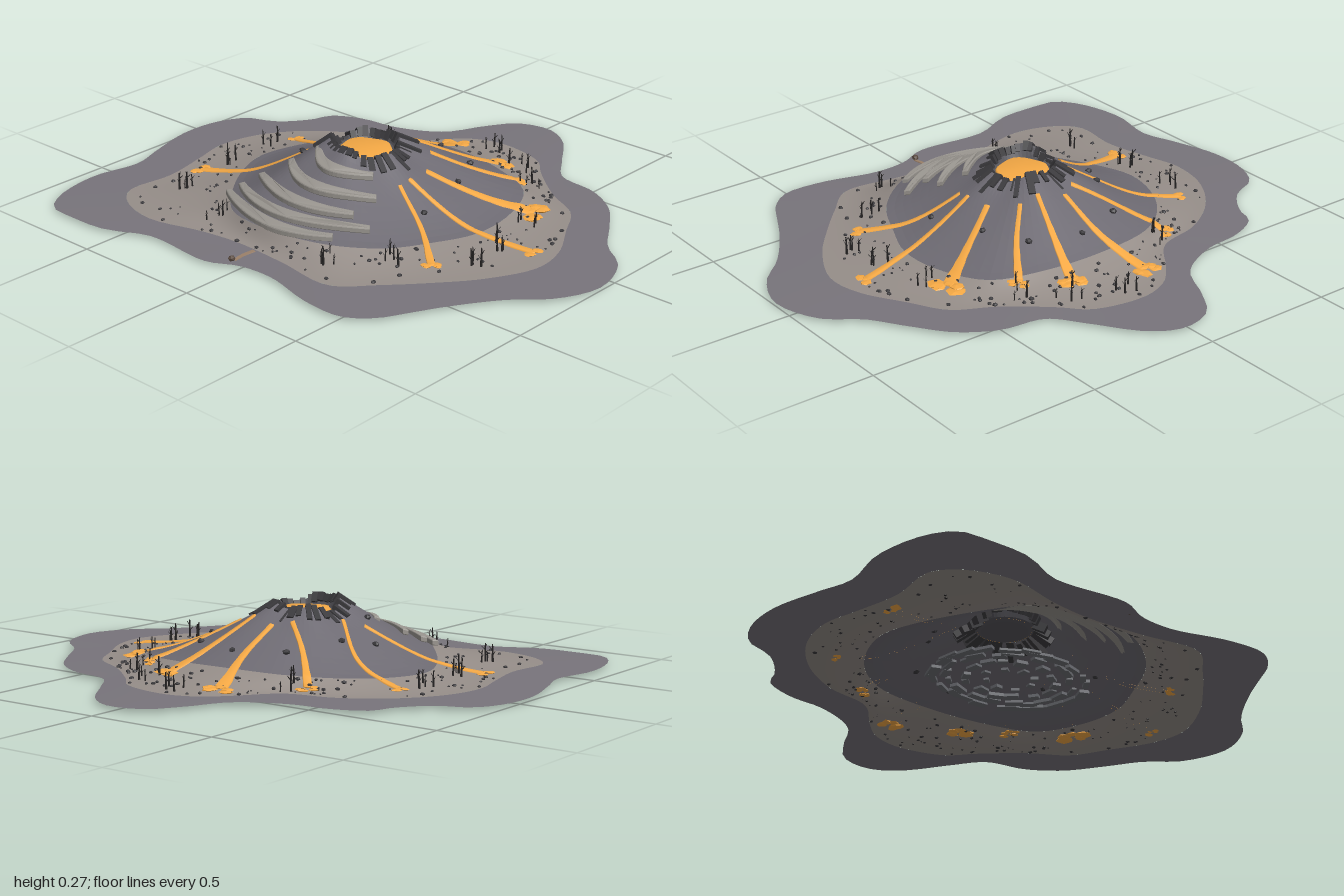
import * as THREE from 'three';
import { mergeGeometries } from 'three/addons/utils/BufferGeometryUtils.js';

const CX = -0.05, CZ = 0.08, RIM = 0.125, TAU = Math.PI * 2;
let seed = 7;
const rand = (a = 0, b = 1) => {
  seed = (seed * 16807) % 2147483647;
  return a + (b - a) * (seed / 2147483647);
};
const mat = (color, flatShading = true) =>
  new THREE.MeshStandardMaterial({ color, flatShading, side: THREE.DoubleSide });

// Closed outline (x, z pairs) turned into a radius by angle about the crater
function outline(pts) {
  const v = [];
  for (let i = 0; i < pts.length; i += 2) v.push(new THREE.Vector3(pts[i], 0, pts[i + 1]));
  const polar = new THREE.CatmullRomCurve3(v, true).getPoints(400)
    .map(p => [(Math.atan2(p.z - CZ, p.x - CX) + TAU) % TAU, Math.hypot(p.x - CX, p.z - CZ)])
    .sort((a, b) => a[0] - b[0]);
  const last = polar[polar.length - 1], first = polar[0];
  polar.unshift([last[0] - TAU, last[1]]);
  polar.push([first[0] + TAU, first[1]]);
  return angle => {
    const t = ((angle % TAU) + TAU) % TAU;
    let i = 1;
    while (i < polar.length - 1 && polar[i][0] < t) i++;
    const [a, b] = [polar[i - 1], polar[i]];
    return a[1] + (b[1] - a[1]) * (t - a[0]) / Math.max(1e-6, b[0] - a[0]);
  };
}
const skirtR = outline([.03, -.89, .14, -.83, .26, -.67, .35, -.56, .51, -.53, .64, -.45, .74, -.32, .83, -.19,
  .94, -.1, 1, .08, .94, .24, .83, .35, .72, .51, .65, .64, .6, .73, .51, .8, .35, .8, .14, .75, 0, .76,
  -.11, .81, -.4, .8, -.56, .87, -.72, .88, -.83, .87, -.9, .78, -.94, .59, -.91, .4, -.95, .27, -1, .08,
  -.99, -.08, -.93, -.19, -.82, -.24, -.73, -.35, -.7, -.43, -.58, -.49, -.43, -.51, -.26, -.6, -.18, -.75, -.1, -.86]);
const ashR = outline([-.01, -.65, .19, -.61, .27, -.53, .43, -.4, .57, -.32, .65, -.19, .74, -.03, .76, .11,
  .68, .29, .57, .43, .45, .56, .33, .67, .09, .65, -.13, .64, -.29, .66, -.5, .71, -.66, .67, -.74, .59,
  -.73, .4, -.77, .21, -.8, .08, -.77, -.08, -.66, -.24, -.5, -.35, -.32, -.4, -.21, -.53, -.13, -.61]);
const coneR = outline([0, -.39, .22, -.36, .38, -.29, .46, -.11, .47, .08, .41, .24, .33, .4, .17, .53, -.05, .58,
  -.24, .55, -.4, .4, -.53, .21, -.57, .08, -.53, -.08, -.42, -.24, -.26, -.35]);

// Ground height at polar position (r, t)
const rimY = t => 0.232 + 0.032 * Math.exp(-(((t - 2.2) / 0.45) ** 2)) + 0.01 * Math.sin(5 * t + 1) - 0.01 * Math.cos(2 * t);
function height(r, angle) {
  const t = ((angle % TAU) + TAU) % TAU, s2 = Math.sin(t) ** 2;
  const R1 = coneR(t), R2 = ashR(t), foot = 0.042 + 0.03 * s2;
  if (r <= R1) {
    const u = Math.max(0, (r - RIM) / (R1 - RIM));
    // shallow slide scar on the front flank
    const scar = 0.012 * Math.exp(-(((t - Math.PI / 2) / 0.5) ** 4)) * Math.sin(Math.PI * u);
    return foot + (rimY(t) - foot) * (1 - u) ** (1.35 - 0.3 * s2) - scar;
  }
  if (r <= R2) return 0.016 + (foot - 0.016) * (1 - (r - R1) / (R2 - R1)) ** 2;
  return 0.016 - 0.004 * Math.min(1, (r - R2) / (skirtR(t) - R2));
}
const groundY = (x, z) => height(Math.hypot(x - CX, z - CZ), Math.atan2(z - CZ, x - CX));

function surface(pos, idx) {
  const g = new THREE.BufferGeometry();
  g.setAttribute('position', new THREE.Float32BufferAttribute(pos, 3));
  g.setIndex(idx);
  g.computeVertexNormals();
  return g;
}
// Polar sheet: each ring gives [radius, y] by angle
function sheet(rings, n) {
  const pos = [], idx = [];
  rings.forEach(ring => {
    for (let j = 0; j < n; j++) {
      const t = j / n * TAU, [r, y] = ring(t);
      pos.push(CX + r * Math.cos(t), y, CZ + r * Math.sin(t));
    }
  });
  for (let i = 0; i < rings.length - 1; i++) for (let j = 0; j < n; j++) {
    const a = i * n + j, c = i * n + (j + 1) % n;
    idx.push(a, c, a + n, c, c + n, a + n);
  }
  return surface(pos, idx);
}
const band = (inner, outer, k) => Array.from({ length: k + 1 }, (_, i) => t => {
  const r = inner(t) + (outer(t) - inner(t)) * i / k;
  return [r, height(r - 1e-6, t)];
});

// Ribbon draped over the ground along x, z points, with thin sunken edges
function ribbon(pts, w0, w1, lift) {
  const curve = new THREE.CatmullRomCurve3(pts.map(([x, z]) => new THREE.Vector3(x, 0, z)));
  const pos = [], idx = [], n = 28;
  for (let i = 0; i <= n; i++) {
    const u = i / n, p = curve.getPoint(u), d = curve.getTangent(u);
    const w = (w0 + (w1 - w0) * u * u) * (1 + 0.04 * Math.sin(i * 1.1));
    for (const s of [-1, -0.85, 0.85, 1]) {
      const x = p.x - d.z * w * s, z = p.z + d.x * w * s;
      pos.push(x, groundY(x, z) + (Math.abs(s) < 1 ? lift : 0), z);
    }
    if (i < n) for (let k = 0; k < 3; k++) {
      const a = i * 4 + k;
      idx.push(a, a + 1, a + 4, a + 1, a + 5, a + 4);
    }
  }
  return surface(pos, idx);
}
// Squashed, turned rock resting at x, z
const rock = (x, y, z, s, flat = 0.8) => new THREE.IcosahedronGeometry(s, 0)
  .rotateX(rand(0, 3)).rotateZ(rand(0, 3)).scale(rand(0.8, 1.3), flat, rand(0.8, 1.3)).translate(x, y, z);

// Bare tree: trunk and slanted branches
function tree(x, z, h) {
  const parts = [new THREE.CylinderGeometry(h * 0.03, h * 0.07, h, 5).translate(0, h / 2, 0)];
  for (let i = 0; i < 4; i++) {
    const L = h * rand(0.2, 0.32);
    parts.push(new THREE.CylinderGeometry(h * 0.015, h * 0.03, L, 4).translate(0, L / 2, 0)
      .rotateZ(rand(0.4, 0.8)).rotateY(i * 1.7 + rand()).translate(0, h * (0.4 + i * 0.13), 0));
  }
  return mergeGeometries(parts).rotateZ(rand(-0.06, 0.06)).translate(x, groundY(x, z) - 0.003, z);
}

export function createModel() {
  const model = new THREE.Group();
  const add = (name, geometry, material) => {
    const mesh = new THREE.Mesh(geometry, material);
    mesh.name = name;
    model.add(mesh);
  };
  const dark = mat(0x3b3a3d), lava = mat(0xf5a945, false);

  // Ground and mountain
  add('outerGround', sheet(band(ashR, skirtR, 3), 140), mat(0x78747b, false));
  add('ashField', sheet(band(coneR, ashR, 6), 120), mat(0x968e89, false));
  add('cone', sheet(band(() => RIM, coneR, 12), 80), mat(0x6e6b73));
  add('craterBowl', sheet([() => [0, 0.2], () => [0.085, 0.203], () => [0.105, 0.212], t => [RIM, rimY(t)]], 56),
    mat(0x55545a));
  add('lavaPool', sheet([() => [0, 0.22], t => [0.088 + 0.006 * Math.sin(4 * t), 0.22],
    () => [0.098, 0.208]], 24), lava);

  // Slabs half sunk around the crater rim, shorter at the front
  const slabs = [];
  for (let i = 0; i < 30; i++) {
    const t = i / 30 * TAU + rand(-0.06, 0.06);
    const front = Math.abs(t - Math.PI / 2) < 0.7;
    const L = front ? 0.03 : rand(0.045, 0.1), r = 0.105 + L / 2, rc = Math.max(r, RIM);
    slabs.push(new THREE.BoxGeometry(L, rand(0.022, 0.04), rand(0.014, 0.026))
      .rotateZ(-Math.atan2(height(rc, t) - height(rc + 0.05, t), 0.05)).rotateY(-t)
      .translate(CX + r * Math.cos(t), height(r, t) - 0.013, CZ + r * Math.sin(t)));
  }
  add('rimSlabs', mergeGeometries(slabs), dark);

  // Crescent terraces on the front flank: left end, middle, right end
  const terraces = [
    [-.16, .21, -.03, .295, .11, .22], [-.24, .27, -.04, .375, .18, .28], [-.31, .35, -.05, .45, .17, .385],
    [-.35, .41, -.05, .515, .25, .39], [-.37, .455, -.05, .57, .18, .5]];
  add('terraces', mergeGeometries(terraces.map(([x0, z0, x1, z1, x2, z2]) => {
    const shape = new THREE.Shape(), mid = 2 * z1 - (z0 + z2) / 2;
    shape.moveTo(x0, z0);
    shape.quadraticCurveTo(x1, mid + 0.012, x2, z2);
    shape.lineTo(x2 - 0.008, z2 - 0.01);
    shape.quadraticCurveTo(x1, mid - 0.046, x0 + 0.008, z0 - 0.01);
    const g = new THREE.ExtrudeGeometry(shape, { depth: 0.014, curveSegments: 18, bevelEnabled: true,
      bevelSize: 0.005, bevelThickness: 0.004, bevelSegments: 2 }).rotateX(Math.PI / 2);
    // lean each shelf halfway into the slope
    const p = g.attributes.position, level = groundY(x1, z1 - 0.012);
    for (let i = 0; i < p.count; i++)
      p.setY(i, p.getY(i) + 0.011 + (level + groundY(p.getX(i), p.getZ(i))) / 2);
    g.computeVertexNormals();
    return g;
  })), mat(0x99958f));

  // Lava streams: start, bend, end, start and end half width
  const streams = [
    [[-.07, -.14], [-.08, -.32], [-.13, -.5], .009, .026], [[.03, -.11], [.08, -.26], [.14, -.44], .008, .022],
    [[.1, -.1], [.2, -.21], [.3, -.35], .008, .016], [[.17, 0], [.35, -.11], [.48, -.2], .011, .028],
    [[.18, .1], [.42, .08], [.67, .03], .008, .015], [[.18, .15], [.34, .22], [.49, .34], .007, .015],
    [[-.13, -.1], [-.25, -.2], [-.37, -.33], .008, .016], [[-.22, .08], [-.4, -.08], [-.61, -.14], .007, .013],
    [[-.27, .14], [-.46, .23], [-.67, .29], .007, .018]];
  const toes = [];
  add('lavaStreams', mergeGeometries(streams.map(([a, b, c, w0, w1]) => {
    const dir = Math.atan2(c[1] - b[1], c[0] - b[0]);
    for (const [turn, dist] of [[0, 0], [0.9, 1.4], [-0.8, 1.7], [1.4, 1.6], [-1.2, 1.2]]) {
      const x = c[0] + Math.cos(dir + turn) * dist * w1, z = c[1] + Math.sin(dir + turn) * dist * w1;
      toes.push(rock(x, groundY(x, z) + 0.002, z, w1 * rand(0.9, 1.25), 0.2));
    }
    return ribbon([a, b, c], w0, w1, 0.006);
  })), lava);
  add('lavaToes', mergeGeometries(toes), lava);

  // Scattered rocks on the ash, and a few larger ones on the flanks
  const rocks = [];
  for (let i = 0; i < 190; i++) {
    const t = rand(0, TAU), r = coneR(t) + (ashR(t) - coneR(t)) * rand(0.08, 0.95);
    rocks.push(rock(CX + r * Math.cos(t), height(r, t) + 0.002, CZ + r * Math.sin(t), rand(0.003, 0.009)));
  }
  for (const [x, z] of [[-.21, -.24], [.17, -.24], [-.3, -.04], [.25, -.08], [.3, .16], [-.36, .08], [-.02, -.3], [-.24, .2]])
    rocks.push(rock(x, groundY(x, z) + 0.004, z, 0.013));
  add('rocks', mergeGeometries(rocks), dark);

  // Clusters of burnt trees
  const trees = [];
  for (const [x, z] of [[-.65, -.04], [-.63, .18], [-.6, .44], [-.3, .58], [-.3, -.37], [.02, -.57], [.2, -.5],
    [.34, -.39], [.52, -.14], [.58, .1], [.58, .22], [.4, .44], [.22, .58]])
    for (let i = 0; i < 4; i++) trees.push(tree(x + rand(-.04, .04), z + rand(-.04, .04), rand(0.035, 0.072)));
  add('burntTrees', mergeGeometries(trees), mat(0x262424));

  // Short trail with a marker boulder at the front
  add('trail', ribbon([[-.04, .65], [-.045, .7], [-.04, .745]], 0.008, 0.006, 0.003), mat(0x9a8069));
  add('trailBoulder', rock(-.045, .022, .75, 0.014), mat(0x5a4a40));

  // Rubble rings under the hollow mountain
  const rubble = [];
  for (const r of [0.1, 0.17, 0.235, 0.285]) {
    const n = Math.round(r * 80);
    for (let i = 0; i < n; i++) {
      const t = i / n * TAU + rand(-.1, .1), q = r + rand(-.012, .012);
      rubble.push(new THREE.BoxGeometry(r * rand(0.2, 0.34), rand(0.007, 0.012), rand(0.016, 0.036))
        .rotateY(Math.PI / 2 - t + rand(-.15, .15)).translate(CX + q * Math.cos(t), 0.006, 0.11 + q * 0.8 * Math.sin(t)));
    }
  }
  add('underRubble', mergeGeometries(rubble), mat(0x6c6e73));
  return model;
}
